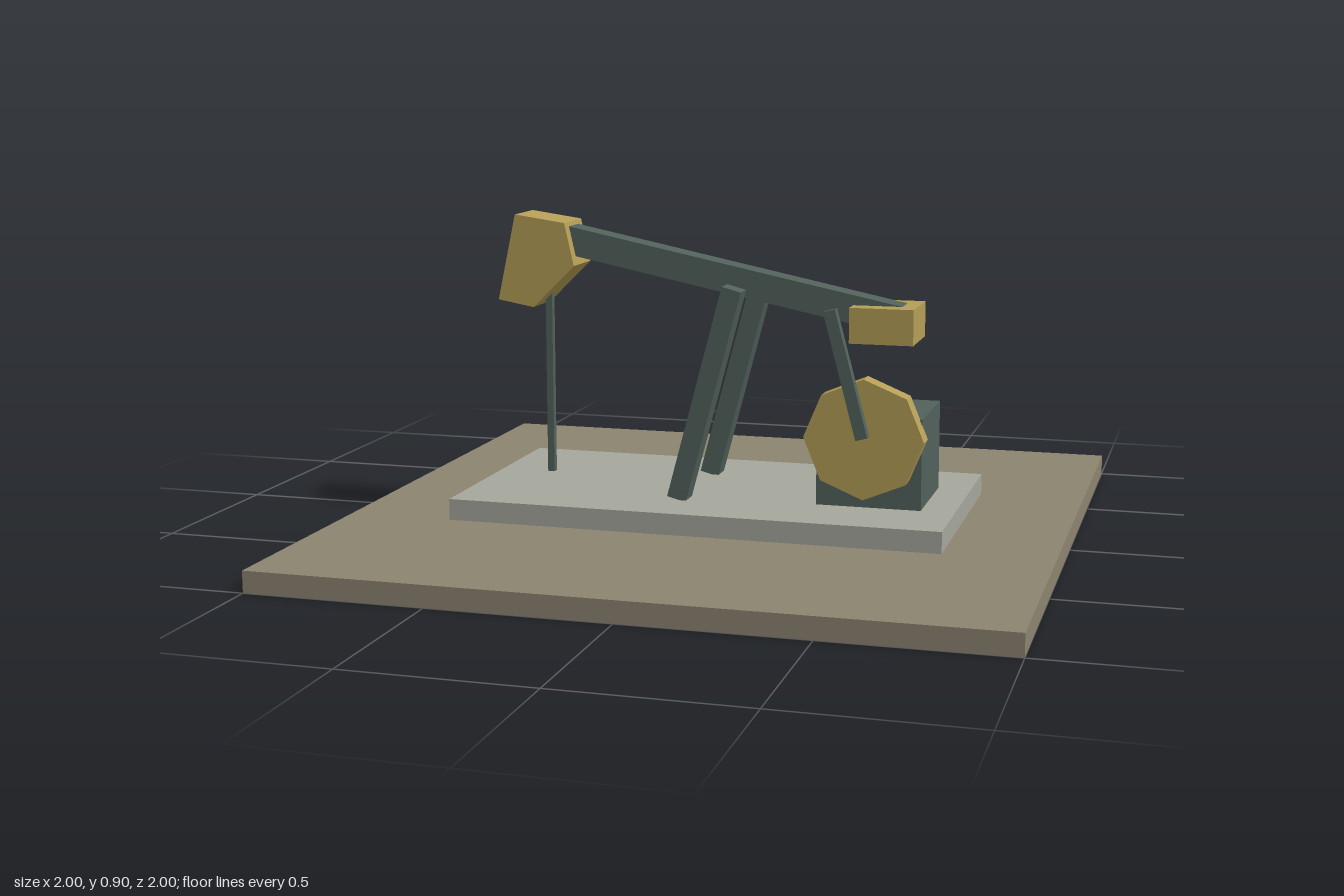
import * as THREE from 'three';

const material = (name, color) => {
  const m = new THREE.MeshStandardMaterial({ color });
  m.name = name;
  return m;
};

export function createModel() {
  const group = new THREE.Group();
  group.name = 'pumpJack';
  const earth = material('earth', 0x8c8470);
  const concrete = material('concrete', 0xa5a79c);
  const steel = material('steel', 0x52615b);
  const yellow = material('yellow', 0xb59e56);

  const add = (name, geometry, mat, x, y, z, roll = 0) => {
    const mesh = new THREE.Mesh(geometry, mat);
    mesh.name = name;
    mesh.position.set(x, y, z);
    mesh.rotation.z = roll;
    group.add(mesh);
    return mesh;
  };
  const box = (name, mat, [w, h, d], [x, y, z], roll) =>
    add(name, new THREE.BoxGeometry(w, h, d), mat, x, y, z, roll);

  // Ground slab and concrete pad
  box('ground', earth, [2, 0.06, 2], [0, 0.03, 0]);
  box('pad', concrete, [1.4, 0.06, 0.72], [0, 0.09, 0]);

  // Pair of leaning support legs
  for (const side of [-1, 1]) {
    box('supportLeg', steel, [0.056, 0.62, 0.06], [0, 0.422, side * 0.17], -0.26);
  }

  // Tilted walking beam with its tail weight
  box('walkingBeam', steel, [1.1, 0.08, 0.08], [0, 0.735, 0], -0.2);
  box('tailWeight', yellow, [0.18, 0.1, 0.19], [0.478, 0.619, 0]);

  // Five-sided head at the well end
  const outline = [[-0.6, 0.9], [-0.45, 0.879], [-0.422, 0.756], [-0.547, 0.633], [-0.654, 0.652]];
  const headShape = new THREE.Shape(outline.map(([x, y]) => new THREE.Vector2(x, y)));
  const head = new THREE.ExtrudeGeometry(headShape, { depth: 0.146, bevelEnabled: false });
  add('beamHead', head, yellow, 0, 0, -0.073);

  // Rod hanging from the head
  box('polishedRod', steel, [0.02, 0.56, 0.02], [-0.523, 0.416, 0]);

  // Motor housing, octagonal crank weight and connecting arm
  box('motorHousing', steel, [0.295, 0.255, 0.295], [0.458, 0.2475, -0.0025]);
  const crank = new THREE.CylinderGeometry(0.168, 0.168, 0.06, 8).rotateX(Math.PI / 2).toNonIndexed();
  crank.computeVertexNormals();
  add('crankWeight', crank, yellow, 0.453, 0.321, 0.17);
  box('connectingArm', steel, [0.034, 0.362, 0.03], [0.407, 0.503, 0.214], 0.26);

  return group;
}
